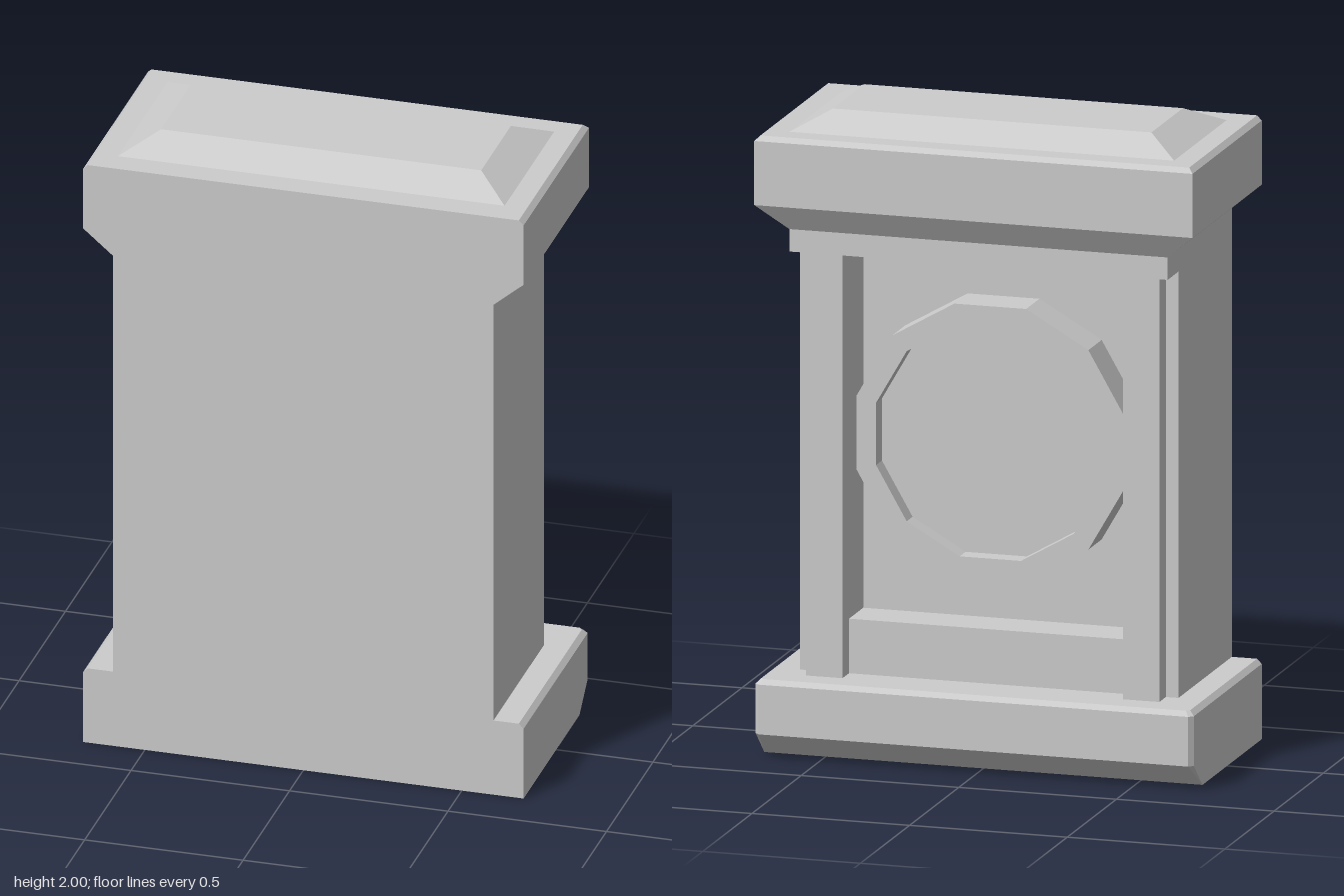
import * as THREE from 'three';
import { ConvexGeometry } from 'three/addons/geometries/ConvexGeometry.js';

const FRONT = 0.352; // flat front plane shared by body, base and cornice

export function createModel() {
  const group = new THREE.Group();
  const material = new THREE.MeshStandardMaterial({ color: 0xcccccc, flatShading: true });

  function add(name, geometry) {
    const mesh = new THREE.Mesh(geometry, material);
    mesh.name = name;
    group.add(mesh);
    return mesh;
  }

  // Box given by its limits on each axis
  function addBox(name, [x0, x1], [y0, y1], [z0, z1]) {
    const mesh = add(name, new THREE.BoxGeometry(x1 - x0, y1 - y0, z1 - z0));
    mesh.position.set((x0 + x1) / 2, (y0 + y1) / 2, (z0 + z1) / 2);
    return mesh;
  }

  // Convex block from levels [y, half width, back z, front z, back corner cut]
  function addBlock(name, levels) {
    const points = [];
    for (const [y, x, back, front, cut = 0] of levels) {
      for (const s of [-1, 1]) {
        points.push(new THREE.Vector3(s * x, y, front));
        points.push(new THREE.Vector3(s * x, y, back + cut));
        if (cut > 0) points.push(new THREE.Vector3(s * (x - cut), y, back));
      }
    }
    return add(name, new ConvexGeometry(points));
  }

  // Base, cut away under its back edge
  addBlock('base', [
    [0, 0.695, -0.25, FRONT],
    [0.08, 0.695, -0.352, FRONT, 0.014],
    [0.235, 0.695, -0.352, FRONT, 0.014],
    [0.25, 0.68, -0.337, FRONT, 0.01],
  ]);

  // Cornice flaring out from the body, and the low cap on top
  addBlock('cornice', [
    [1.65, 0.6, -0.3, FRONT],
    [1.73, 0.695, -0.352, FRONT],
    [1.93, 0.695, -0.352, FRONT],
    [1.945, 0.68, -0.337, FRONT],
  ]);
  addBlock('cap', [
    [1.945, 0.61, -0.267, 0.267],
    [2, 0.505, -0.16, 0.16],
  ]);
  addBox('lintel', [-0.6, 0.6], [1.58, 1.65], [-0.3, FRONT]);

  // Body with a recess open at the back, and a ledge along its bottom
  addBox('body', [-0.6, 0.6], [0.25, 1.58], [-0.045, FRONT]);
  for (const s of [-1, 1]) {
    const side = s < 0 ? 'right' : 'left';
    const span = (a, b) => (s < 0 ? [-b, -a] : [a, b]);
    addBox(side + 'Wall', span(0.445, 0.6), [0.25, 1.58], [-0.19, -0.045]);
    addBox(side + 'Pillar', span(0.445, 0.56), [0.25, 1.58], [-0.256, -0.19]);
  }
  addBox('ledge', [-0.445, 0.445], [0.25, 0.42], [-0.19, -0.045]);

  // Twelve-sided dial with a raised rim, facing the back
  const profile = [[0.44, 0.04], [0.44, 0.18], [0.375, 0.18], [0.375, 0.12], [0, 0.12]]
    .map(([r, h]) => new THREE.Vector2(r, h));
  const dial = add('dial', new THREE.LatheGeometry(profile, 12, Math.PI / 12));
  dial.rotation.x = -Math.PI / 2;
  dial.position.y = 1;

  return group;
}
